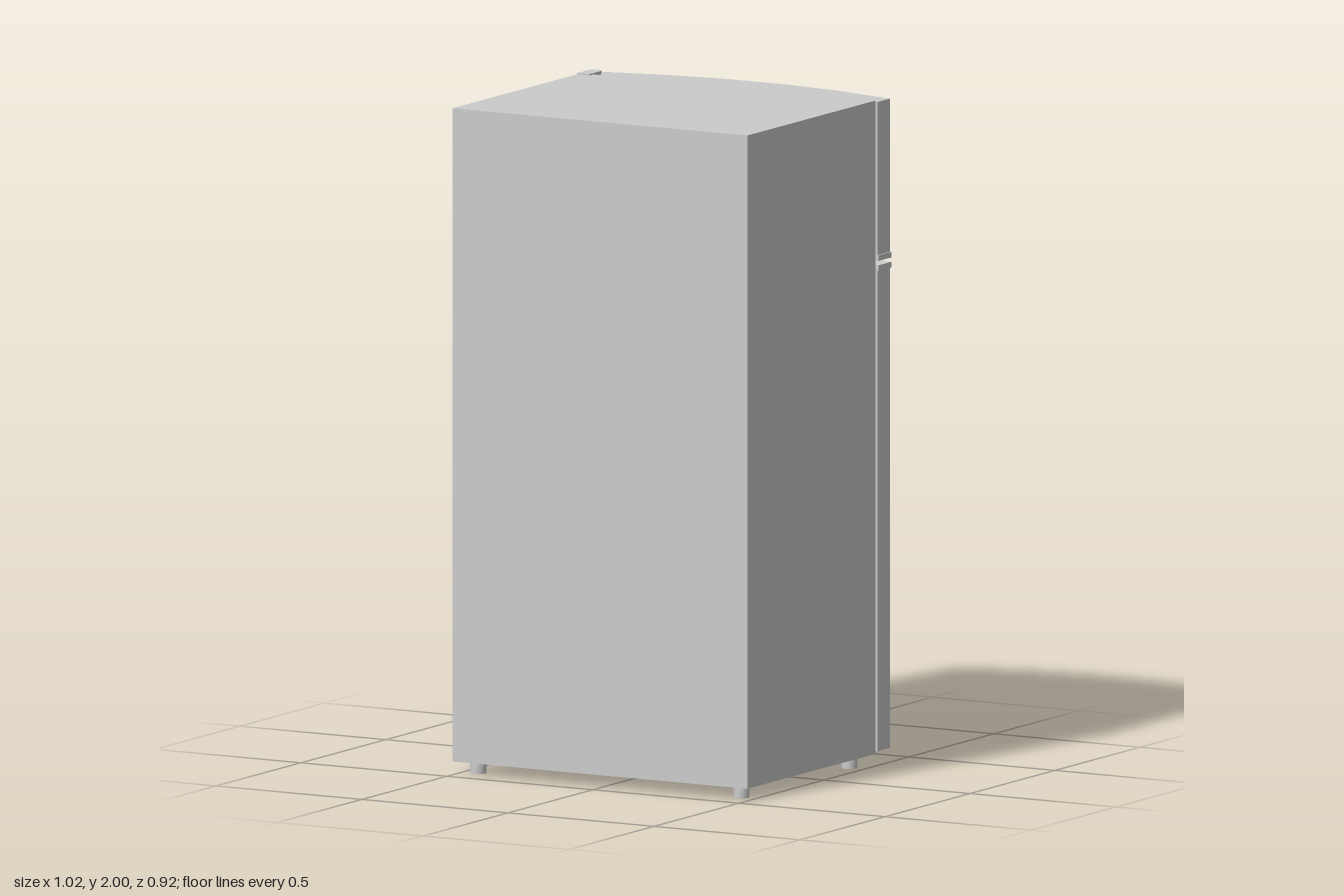
import * as THREE from 'three';
import { toCreasedNormals } from 'three/addons/utils/BufferGeometryUtils.js';

const material = new THREE.MeshStandardMaterial({ color: 0xcccccc });

function add(parent, name, geometry, x = 0, y = 0, z = 0) {
  const mesh = new THREE.Mesh(geometry, material);
  mesh.name = name;
  mesh.position.set(x, y, z);
  parent.add(mesh);
  return mesh;
}

// Box given by its limits on each axis
function addBox(parent, name, x0, x1, y0, y1, z0, z1) {
  return add(parent, name, new THREE.BoxGeometry(x1 - x0, y1 - y0, z1 - z0),
    (x0 + x1) / 2, (y0 + y1) / 2, (z0 + z1) / 2);
}

// Extrudes a plan outline (x, depth toward -z) upward from y0 to y1
function upright(shape, y0, y1) {
  const g = new THREE.ExtrudeGeometry(shape, { depth: y1 - y0, bevelEnabled: false, curveSegments: 8 });
  g.rotateX(-Math.PI / 2).translate(0, y0, 0);
  return toCreasedNormals(g, 0.5);
}

// Bowed door plan, grown by e on the sides and front
function doorPlan(e = 0) {
  const pts = [[0.505, 0.379], [0.3, 0.43], [0.1, 0.455], [-0.1, 0.455], [-0.3, 0.43], [-0.505, 0.379]]
    .map(([x, d]) => new THREE.Vector2(x + (Math.abs(x) > 0.5 ? Math.sign(x) * e : 0), d + e));
  return new THREE.Shape([
    new THREE.Vector2(-0.505 - e, 0.306), new THREE.Vector2(0.505 + e, 0.306), ...pts,
  ]);
}

// Hinge plate with a rounded outer end
function hingePlan(back) {
  const s = new THREE.Shape();
  s.moveTo(-0.504, back);
  s.lineTo(-0.462, back);
  s.lineTo(-0.462, 0.339);
  s.absarc(-0.483, 0.339, 0.021, 0, Math.PI, false);
  s.closePath();
  return s;
}

// Bar handle with angled arms and two mounting pads
function addHandle(parent, cy) {
  const handle = new THREE.Group();
  handle.name = 'handle';
  handle.position.set(0.425, cy, 0);
  const outline = [[0.395, 0.106], [0.416, 0.106], [0.437, 0.088], [0.437, -0.088], [0.416, -0.106], [0.395, -0.106],
    [0.395, -0.094], [0.413, -0.094], [0.427, -0.082], [0.427, 0.082], [0.413, 0.094], [0.395, 0.094]];
  const g = new THREE.ExtrudeGeometry(new THREE.Shape(outline.map(([d, y]) => new THREE.Vector2(d, y))),
    { depth: 0.01, bevelEnabled: false });
  g.rotateY(Math.PI / 2).translate(-0.005, 0, 0);
  add(handle, 'grip', g);
  for (const s of [-1, 1]) {
    add(handle, 'handlePad', new THREE.BoxGeometry(0.015, 0.034, 0.014), 0, s * 0.1, -0.4);
  }
  parent.add(handle);
}

// Door slab, protruding edge trim, inset seal and handle
function addDoor(parent, name, y0, y1, trim0, trim1, handleY) {
  const door = new THREE.Group();
  door.name = name;
  add(door, 'doorPanel', upright(doorPlan(), y0, y1));
  add(door, 'edgeTrim', upright(doorPlan(0.004), trim0, trim1));
  addBox(door, 'seal', -0.48, 0.48, Math.min(y0, trim0) + 0.02, Math.max(y1, trim1) - 0.02, -0.308, -0.293);
  addHandle(door, handleY);
  parent.add(door);
}

export function createModel() {
  const fridge = new THREE.Group();
  fridge.name = 'refrigerator';

  // Cabinet
  addBox(fridge, 'cabinet', -0.505, 0.505, 0.038, 1.996, -0.296, 0.459);

  // Doors
  addDoor(fridge, 'freezerDoor', 1.53, 1.99, 1.514, 1.531, 1.69);
  addDoor(fridge, 'mainDoor', 0.044, 1.485, 1.484, 1.501, 1.345);

  // Hinges at the top, between the doors, and underneath
  add(fridge, 'topHinge', upright(hingePlan(0.273), 1.989, 2));
  add(fridge, 'middleHinge', upright(hingePlan(0.29), 1.5, 1.514));
  add(fridge, 'bottomHinge', upright(hingePlan(0.273), 0.034, 0.045));

  // Feet
  for (const x of [-0.451, 0.451]) {
    for (const z of [-0.235, 0.4]) {
      add(fridge, 'foot', toCreasedNormals(new THREE.CylinderGeometry(0.024, 0.024, 0.04, 12), 0.7), x, 0.02, z);
    }
  }
  return fridge;
}
